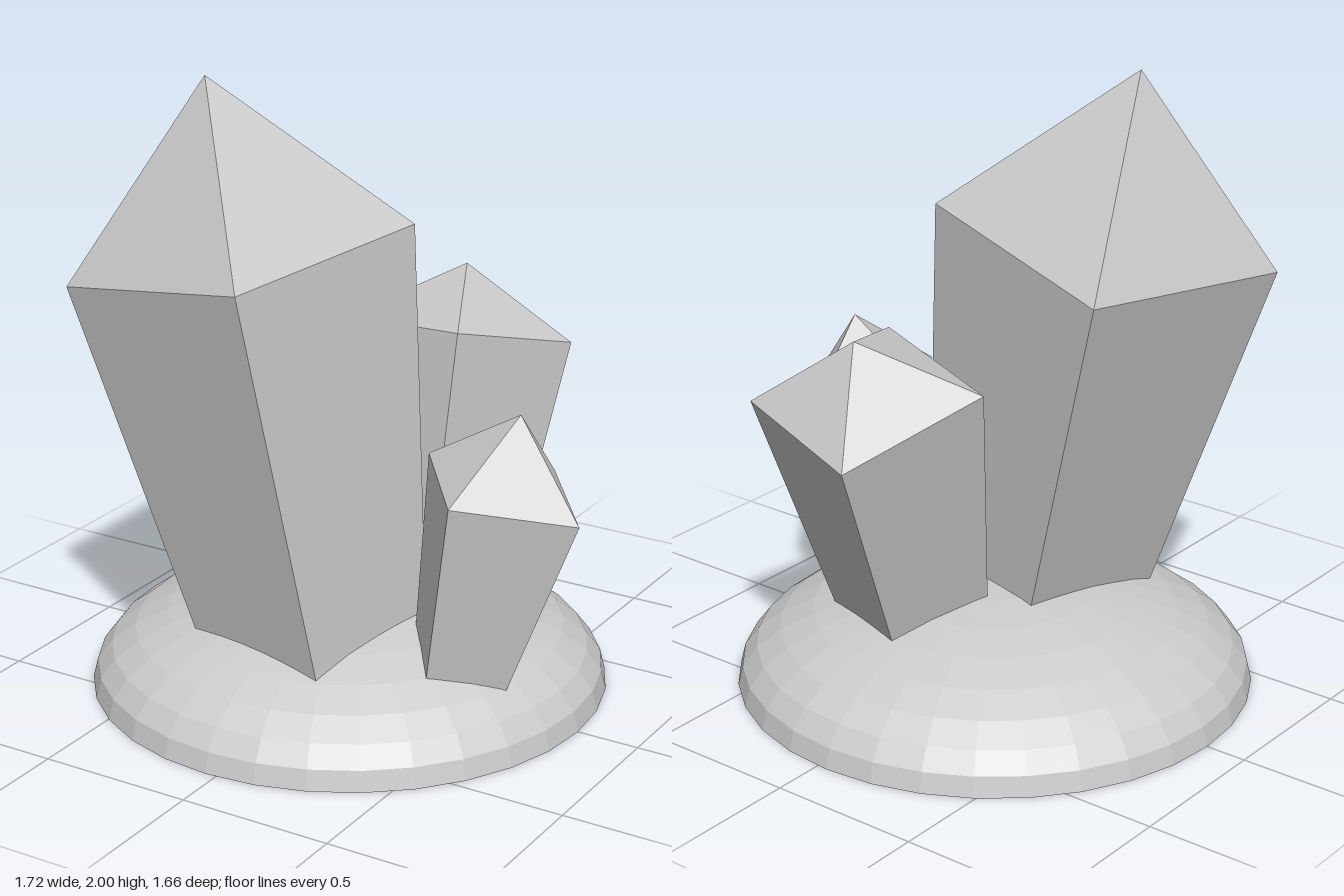
import * as THREE from 'three';

const material = new THREE.MeshStandardMaterial({ color: 0xcccccc, flatShading: true });
const shellMaterial = new THREE.MeshStandardMaterial({ color: 0xcccccc, flatShading: true, side: THREE.DoubleSide });

// Four-sided tapered prism with a pyramid point.
// shoulder: centre of the widest section; axis: growth direction; corner: offset to one shoulder corner
function crystal({ name, shoulder, axis, corner, bottomRadius, topRadius, shaft, point }) {
  const profile = [[0, -shaft], [bottomRadius, -shaft], [topRadius, 0], [0, point]];
  const geometry = new THREE.LatheGeometry(profile.map(([r, y]) => new THREE.Vector2(r, y)), 4);

  const up = new THREE.Vector3(...axis).normalize();
  const side = new THREE.Vector3().crossVectors(up, new THREE.Vector3(...corner)).normalize();
  const forward = new THREE.Vector3().crossVectors(side, up);

  const mesh = new THREE.Mesh(geometry, material);
  mesh.name = name;
  mesh.quaternion.setFromRotationMatrix(new THREE.Matrix4().makeBasis(side, up, forward));
  mesh.position.set(...shoulder);
  return mesh;
}

export function createModel() {
  const model = new THREE.Group();
  model.name = 'crystalCluster';

  // Hollow flattened dome, open underneath
  const dome = new THREE.Mesh(
    new THREE.SphereGeometry(0.83, 32, 8, 0, Math.PI * 2, 0, Math.PI / 2),
    shellMaterial
  );
  dome.name = 'rockBase';
  dome.scale.y = 0.4;
  dome.position.x = -0.035;
  model.add(dome);

  // Three crystals leaning outward
  const crystals = [
    {
      name: 'largeCrystal', shoulder: [-0.255, 1.45, 0.275], axis: [-0.195, 1, 0.03],
      corner: [0.285, 0.04, 0.455], bottomRadius: 0.33, topRadius: 0.538, shaft: 1.405, point: 0.56,
    },
    {
      name: 'backCrystal', shoulder: [0.095, 1.0625, -0.465], axis: [-0.045, 1, -0.31],
      corner: [0.165, 0.1025, 0.305], bottomRadius: 0.229, topRadius: 0.364, shaft: 0.977, point: 0.215,
    },
    {
      name: 'smallCrystal', shoulder: [0.578, 0.805, 0.118], axis: [0.195, 1, -0.07],
      corner: [-0.03, 0.025, 0.28], bottomRadius: 0.168, topRadius: 0.284, shaft: 0.675, point: 0.25,
    },
  ];
  crystals.forEach((options) => model.add(crystal(options)));

  return model;
}
